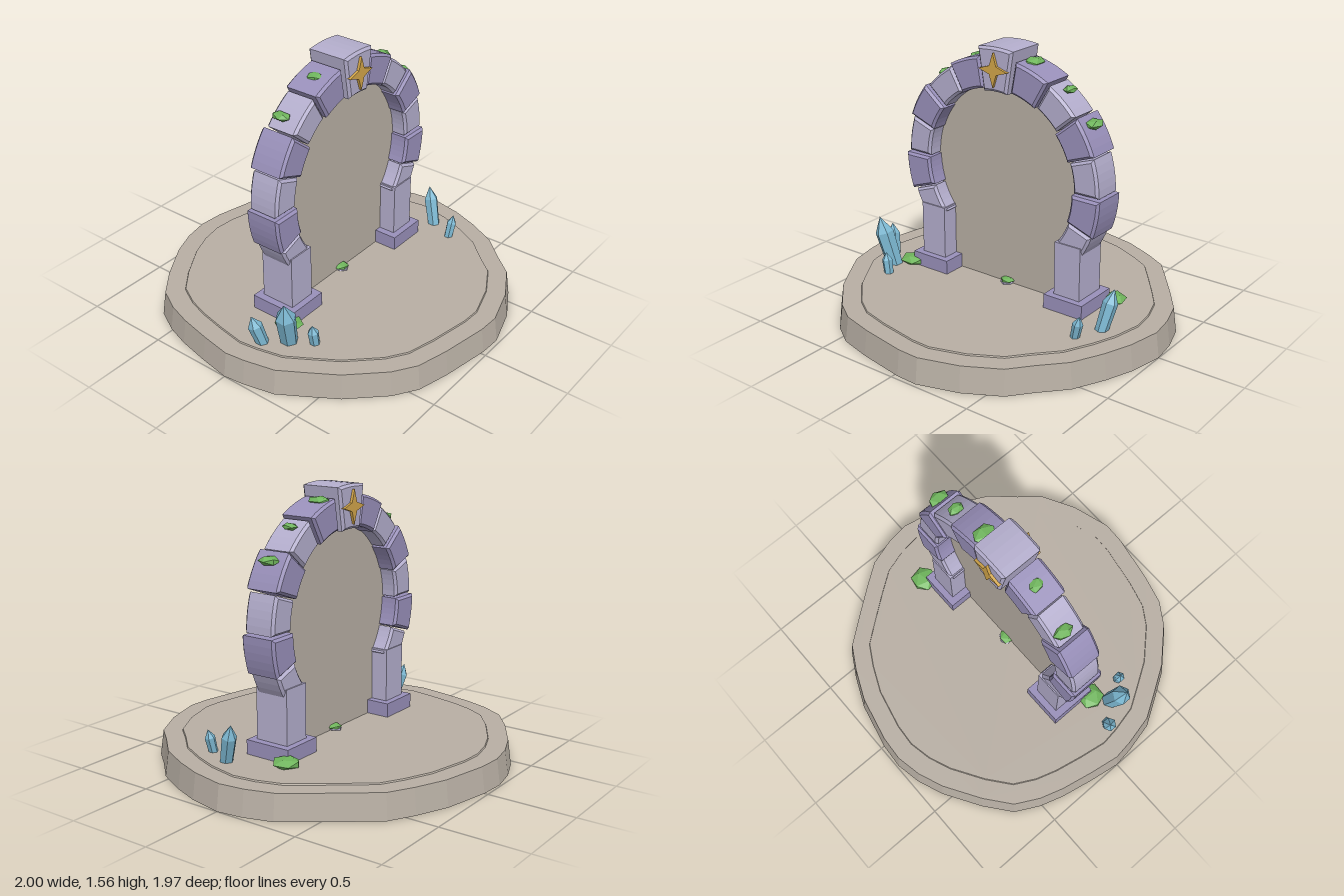
import * as THREE from 'three';

const mat = (name, color, side = THREE.FrontSide) => {
  const m = new THREE.MeshStandardMaterial({ color, side });
  m.name = name;
  return m;
};

// Faceted normals baked into the geometry
const flat = (geo) => {
  const g = geo.index ? geo.toNonIndexed() : geo;
  g.computeVertexNormals();
  return g;
};

export function createModel() {
  const stone = mat('stone', 0xb8afa4);
  const veil = mat('veil stone', 0xb8afa4, THREE.DoubleSide);
  const lilac = mat('light lilac', 0xb4aecd);
  const purple = mat('dusty purple', 0x9990ba);
  const moss = mat('moss green', 0x6fb55c);
  const ice = mat('crystal blue', 0x7db9d3);
  const gold = mat('gold', 0xd3a64a);

  const model = new THREE.Group();
  const add = (name, geo, material, x = 0, y = 0, z = 0, parent = model) => {
    const mesh = new THREE.Mesh(geo, material);
    mesh.name = name;
    mesh.position.set(x, y, z);
    parent.add(mesh);
    return mesh;
  };

  // Irregular island: outline as x, z pairs
  const outline = [
    [-0.15, -0.99], [0, -0.98], [0.27, -0.92], [0.45, -0.84], [0.59, -0.76], [0.7, -0.62],
    [0.83, -0.45], [0.93, -0.31], [0.98, -0.15], [1, 0], [0.96, 0.2], [0.9, 0.36],
    [0.81, 0.54], [0.68, 0.68], [0.58, 0.8], [0.38, 0.91], [0.15, 0.98], [0.02, 0.975],
    [-0.26, 0.925], [-0.45, 0.875], [-0.58, 0.79], [-0.76, 0.6], [-0.86, 0.44], [-0.945, 0.3],
    [-0.985, 0.12], [-1, 0], [-0.97, -0.18], [-0.93, -0.37], [-0.885, -0.51], [-0.81, -0.65],
    [-0.66, -0.77], [-0.45, -0.9], [-0.3, -0.96],
  ];
  const slab = (scale, topScale, height) => {
    const shape = new THREE.Shape(outline.map(([x, z]) => new THREE.Vector2(x * scale, -z * scale)));
    const geo = new THREE.ExtrudeGeometry(shape, { depth: height, bevelEnabled: false });
    geo.rotateX(-Math.PI / 2);
    const p = geo.attributes.position;
    for (let i = 0; i < p.count; i++) {
      if (p.getY(i) > height / 2) p.setXYZ(i, p.getX(i) * topScale, p.getY(i), p.getZ(i) * topScale);
    }
    return flat(geo);
  };
  add('islandBase', slab(1, 0.98, 0.145), stone);
  add('islandPaving', slab(0.872, 0.995, 0.01), stone, 0, 0.143, 0);

  // Arch blocks: bevelled ring segments around the arch centre
  const CY = 0.84;
  const rad = THREE.MathUtils.degToRad;
  const archBlock = (from, to, inner, outer, halfDepth) => {
    const bevel = 0.014;
    const steps = 5;
    const pts = [];
    const arc = (r, a, b) => {
      for (let i = 0; i <= steps; i++) {
        const t = rad(a + ((b - a) * i) / steps);
        pts.push(new THREE.Vector2(r * Math.cos(t), r * Math.sin(t)));
      }
    };
    arc(outer, from, to);
    arc(inner, to, from);
    const geo = new THREE.ExtrudeGeometry(new THREE.Shape(pts), {
      depth: 2 * (halfDepth - bevel), bevelEnabled: true, bevelSize: bevel,
      bevelThickness: bevel, bevelOffset: -bevel, bevelSegments: 1,
    });
    geo.translate(0, 0, bevel - halfDepth);
    return flat(geo);
  };
  for (let i = 0; i < 6; i++) {
    const start = -40 + i * 20;
    const dark = i % 2 === 1;
    const from = start + 0.5, to = start + 19.5;
    const dims = dark ? [0.487, 0.662, 0.108] : [0.493, 0.648, 0.095];
    const material = dark ? purple : lilac;
    add('archBlockLeft', archBlock(from, to, ...dims), material, 0, CY, 0);
    add('archBlockRight', archBlock(180 - to, 180 - from, ...dims), material, 0, CY, 0);
  }
  add('keystone', archBlock(80.7, 99.3, 0.477, 0.72, 0.126), lilac, 0, CY, 0);

  // Legs and plinths
  for (const [side, s] of [['Left', 1], ['Right', -1]]) {
    add('leg' + side, new THREE.BoxGeometry(0.165, 0.33, 0.204), lilac, s * 0.47, 0.38, 0);
    add('plinth' + side, new THREE.BoxGeometry(0.25, 0.09, 0.28), purple, s * 0.47, 0.19, 0);
  }

  // Stone sheet filling the opening
  const opening = new THREE.Shape();
  opening.moveTo(0.42, 0.15);
  opening.lineTo(0.42, 0.55);
  opening.absarc(0, CY, 0.51, rad(-34.6), rad(214.6), false);
  opening.lineTo(-0.42, 0.15);
  add('portalSheet', new THREE.ShapeGeometry(opening, 24), veil);

  // Four-pointed star on both faces of the keystone
  const starPts = [];
  for (let i = 0; i < 8; i++) {
    const r = i % 2 ? 0.033 : 0.095;
    const t = (i * Math.PI) / 4;
    starPts.push(new THREE.Vector2(r * Math.cos(t), r * Math.sin(t)));
  }
  const starGeo = new THREE.ExtrudeGeometry(new THREE.Shape(starPts), { depth: 0.02, bevelEnabled: false });
  add('starFront', starGeo, gold, 0, 1.438, 0.121);
  add('starBack', starGeo, gold, 0, 1.438, -0.121).rotation.y = Math.PI;

  // Crystals: base point, tip point, radius
  const crystals = [
    [[-0.695, 0.13, 0.2], [-0.775, 0.44, 0.235], 0.056],
    [[-0.79, 0.13, 0.1], [-0.838, 0.325, 0.06], 0.04],
    [[-0.63, 0.13, 0.325], [-0.652, 0.275, 0.32], 0.031],
    [[0.735, 0.13, 0.165], [0.772, 0.375, 0.095], 0.042],
    [[0.665, 0.13, 0.31], [0.702, 0.285, 0.32], 0.029],
  ];
  const up = new THREE.Vector3(0, 1, 0);
  for (const [base, tip, r] of crystals) {
    const dir = new THREE.Vector3(...tip).sub(new THREE.Vector3(...base));
    const h = dir.length();
    const profile = [[0, 0], [r * 0.85, 0], [r, h * 0.7], [0, h]].map((p) => new THREE.Vector2(...p));
    const mesh = add('crystal', flat(new THREE.LatheGeometry(profile, 6)), ice, ...base);
    mesh.quaternion.setFromUnitVectors(up, dir.normalize());
  }

  // Moss clumps: position, then half sizes
  const clumps = [
    [0.155, 1.478, -0.02, 0.05, 0.026, 0.07],
    [0.395, 1.372, -0.01, 0.034, 0.02, 0.045],
    [0.555, 1.217, 0, 0.047, 0.026, 0.062],
    [-0.455, 1.322, -0.025, 0.038, 0.022, 0.058],
    [-0.21, 1.458, 0, 0.04, 0.022, 0.05],
    [0.615, 0.175, -0.145, 0.075, 0.03, 0.08],
    [-0.61, 0.175, 0.125, 0.08, 0.03, 0.075],
    [0, 0.17, 0, 0.045, 0.016, 0.05],
  ];
  const clumpGeo = flat(new THREE.IcosahedronGeometry(1.05, 0));
  clumps.forEach(([x, y, z, sx, sy, sz], i) => {
    const geo = clumpGeo.clone().rotateY(i * 1.3).scale(sx, sy, sz);
    add('mossClump', flat(geo), moss, x, y, z);
  });
  add('pebble', flat(clumpGeo.clone().scale(0.042, 0.012, 0.055)), lilac, 0, 0.159, 0);

  return model;
}
